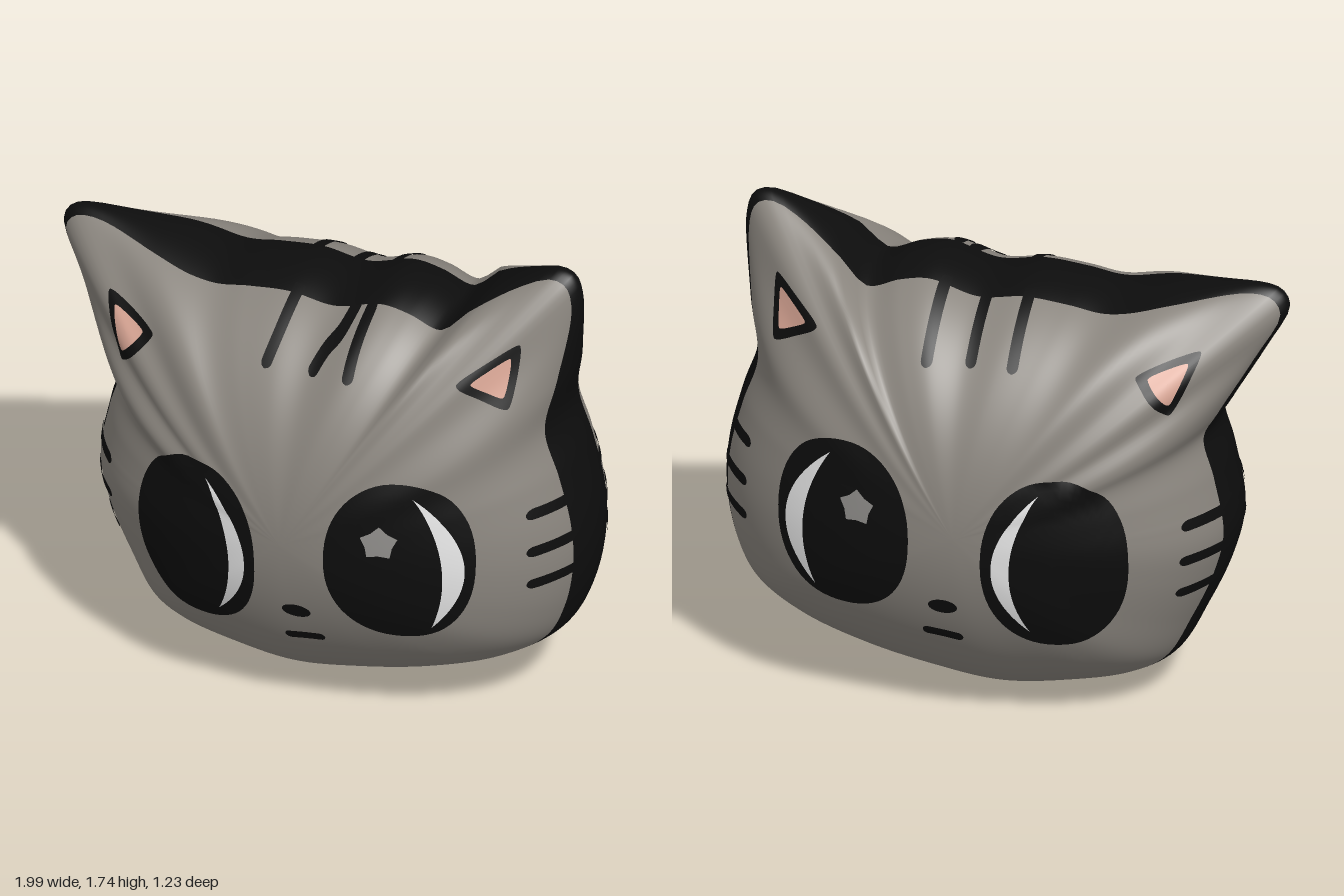
import * as THREE from 'three';

const mat = (name, color, side = THREE.DoubleSide) => {
  const m = new THREE.MeshStandardMaterial({ color, side });
  m.name = name;
  return m;
};

const V = (x, y) => new THREE.Vector3(x, y, 0);
const lerp = THREE.MathUtils.lerp;

// Centre and half depth of the cushion-like head
const CX = 0.05, CY = 0.78, DEPTH = 0.615;

// Front outline, clockwise from the left-hand ear
const OUTLINE = [
  [-1.0, 1.51], [-0.975, 1.565], [-0.91, 1.585], [-0.63, 1.55], [-0.4, 1.505], [-0.26, 1.525],
  [-0.1, 1.54], [0.07, 1.52], [0.25, 1.57], [0.355, 1.555], [0.48, 1.515], [0.57, 1.6],
  [0.73, 1.7], [0.855, 1.745], [0.905, 1.725], [0.93, 1.645], [0.91, 1.38], [0.88, 1.18],
  [0.935, 1.0], [0.98, 0.815], [0.99, 0.655], [0.96, 0.47], [0.89, 0.32], [0.73, 0.2],
  [0.49, 0.105], [0.22, 0.04], [-0.035, 0.005], [-0.285, 0.035], [-0.5, 0.09], [-0.62, 0.165],
  [-0.715, 0.335], [-0.795, 0.52], [-0.83, 0.68], [-0.795, 0.895], [-0.757, 1.055],
  [-0.805, 1.15], [-0.92, 1.35],
];

// Outline radius by angle
const polar = new THREE.CatmullRomCurve3(OUTLINE.map(([x, y]) => V(x, y)), true, 'centripetal')
  .getPoints(900)
  .map((p) => [Math.atan2(p.y - CY, p.x - CX), Math.hypot(p.x - CX, p.y - CY)])
  .sort((a, b) => a[0] - b[0]);

function radius(theta) {
  const t = Math.atan2(Math.sin(theta), Math.cos(theta));
  let i = polar.findIndex((p) => p[0] >= t);
  if (i < 0) i = 0;
  const b = polar[i], a = polar[(i + polar.length - 1) % polar.length];
  const span = b[0] - a[0];
  return span > 1e-6 ? lerp(a[1], b[1], (t - a[0]) / span) : b[1];
}

// 0 on the head, 1 at an ear tip
const earness = (theta, R) => (Math.sin(theta) > 0.3 ? THREE.MathUtils.smoothstep(R, 0.9, 1.28) : 0);

// Half thickness at fraction s of the way to the outline; ears thin to cones
const thickness = (s, ear) =>
  DEPTH * Math.sqrt(Math.max(0, 1 - s * s)) * (1 - 0.68 * ear * Math.pow(s, 2.2));

function headPoint(x, y) {
  const theta = Math.atan2(y - CY, x - CX);
  const R = radius(theta);
  const s = Math.min(Math.hypot(x - CX, y - CY) / R, 0.983);
  return { theta, R, s, z: thickness(s, earness(theta, R)) };
}

// Head with a dark band around its rim
function makeHead(fur, dark) {
  const N = 320, FUR = 40, BAND = 10, rings = 2 * (FUR + BAND);
  const pos = new Float32Array((rings + 1) * N * 3), idx = [];
  for (let j = 0; j < N; j++) {
    const theta = (j / N) * Math.PI * 2;
    const R = radius(theta), ear = earness(theta, R), width = 0.155 - 0.11 * ear;
    let lo = 0, hi = 1;
    for (let k = 0; k < 30; k++) {
      const m = (lo + hi) / 2;
      if (thickness(m, ear) > width) lo = m; else hi = m;
    }
    const edge = Math.asin(lo);
    for (let i = 0; i <= rings; i++) {
      const n = Math.min(i, rings - i);
      const phi = n <= FUR ? (edge * n) / FUR : lerp(edge, Math.PI / 2, (n - FUR) / BAND);
      const s = Math.sin(phi);
      const z = n === FUR + BAND ? 0 : thickness(s, ear) * (i > rings / 2 ? -1 : 1);
      pos.set([CX + Math.cos(theta) * R * s, CY + Math.sin(theta) * R * s, z], (i * N + j) * 3);
    }
  }
  for (let i = 0; i < rings; i++) {
    for (let j = 0; j < N; j++) {
      const k = (j + 1) % N;
      const a = i * N + j, b = (i + 1) * N + j, c = (i + 1) * N + k, d = i * N + k;
      idx.push(a, b, c, a, c, d);
    }
  }
  const g = new THREE.BufferGeometry();
  g.setAttribute('position', new THREE.BufferAttribute(pos, 3));
  g.setIndex(idx);
  g.computeVertexNormals();
  g.addGroup(0, FUR * N * 6, 0);
  g.addGroup(FUR * N * 6, 2 * BAND * N * 6, 1);
  g.addGroup((FUR + 2 * BAND) * N * 6, FUR * N * 6, 0);
  const mesh = new THREE.Mesh(g, [fur, dark]);
  mesh.name = 'head';
  return mesh;
}

// Thin sheet between two rows of points, laid over the front (side 1) or back (side -1)
function drape(name, material, rowA, rowB, side, lift = 0.004, steps = 10) {
  const n = rowA.length, pos = [], idx = [], e = 0.004;
  for (let i = 0; i <= steps; i++) {
    for (let j = 0; j < n; j++) {
      const p = rowA[j].clone().lerp(rowB[j], i / steps);
      const h = headPoint(p.x, p.y);
      const x = CX + Math.cos(h.theta) * h.R * h.s, y = CY + Math.sin(h.theta) * h.R * h.s;
      const normal = new THREE.Vector3(
        (headPoint(x - e, y).z - headPoint(x + e, y).z) / (2 * e),
        (headPoint(x, y - e).z - headPoint(x, y + e).z) / (2 * e), 1).normalize();
      pos.push(x + normal.x * lift, y + normal.y * lift, side * (h.z + normal.z * lift));
      if (i < steps && j < n - 1) {
        const a = i * n + j, b = a + n;
        idx.push(a, b, b + 1, a, b + 1, a + 1);
      }
    }
  }
  const g = new THREE.BufferGeometry();
  g.setAttribute('position', new THREE.Float32BufferAttribute(pos, 3));
  g.setIndex(idx);
  g.computeVertexNormals();
  const mesh = new THREE.Mesh(g, material);
  mesh.name = name;
  return mesh;
}

const fill = (name, material, outline, cx, cy, side, lift) =>
  drape(name, material, outline, outline.map(() => V(cx, cy)), side, lift);

// Rounded oval; power above 2 gives fuller corners
const oval = (cx, cy, w, h, power = 2) => Array.from({ length: 65 }, (_, i) => {
  const a = (i / 64) * Math.PI * 2, c = Math.cos(a), s = Math.sin(a);
  return V(cx + w * Math.sign(c) * Math.abs(c) ** (2 / power), cy + h * Math.sign(s) * Math.abs(s) ** (2 / power));
});

// Arc through three points
const arc = (a, m, b) => new THREE.QuadraticBezierCurve3(
  V(...a), V(2 * m[0] - (a[0] + b[0]) / 2, 2 * m[1] - (a[1] + b[1]) / 2), V(...b)).getPoints(32);

// Polygon with softened corners
const softPolygon = (pts) => {
  const out = pts.flatMap((p, i) => [pts.at(i - 1), pts[(i + 1) % pts.length]].map((q) => p.clone().lerp(q, 0.14)));
  return new THREE.CatmullRomCurve3(out, true, 'catmullrom', 0.4).getPoints(60);
};

// Stroke of even width with rounded ends
function stroke(name, material, path, width, side) {
  const curve = new THREE.CatmullRomCurve3(path.map(([x, y]) => V(x, y)));
  const len = curve.getLength(), rows = [[], []];
  for (let i = 0; i <= 40; i++) {
    const t = i / 40, p = curve.getPointAt(t), d = curve.getTangentAt(t);
    const end = Math.min(1, (Math.min(t, 1 - t) * len) / (width / 2));
    const w = (width / 2) * Math.sqrt(Math.max(0.02, 1 - (1 - end) ** 2));
    rows[0].push(V(p.x - d.y * w, p.y + d.x * w));
    rows[1].push(V(p.x + d.y * w, p.y - d.x * w));
  }
  return drape(name, material, rows[0], rows[1], side, 0.004, 4);
}

export function createModel() {
  const fur = mat('grey fur', 0x8a857e, THREE.FrontSide);
  const dark = mat('black markings', 0x0d0d0d);
  const white = mat('white eye shine', 0xf8f8f8);
  const spark = mat('grey eye star', 0x908e8b);
  const pink = mat('pink inner ear', 0xd8a594);

  const model = new THREE.Group();
  model.name = 'catHead';
  model.add(makeHead(fur, dark));

  // The same face on the front and on the back
  for (const side of [1, -1]) {
    const face = new THREE.Group();
    face.name = side > 0 ? 'frontFace' : 'backFace';
    model.add(face);

    // Eyes with crescent shines
    face.add(
      fill('rightEye', dark, oval(-0.29, 0.685, 0.245, 0.33, 2.2), -0.29, 0.685, side),
      fill('leftEye', dark, oval(0.46, 0.755, 0.25, 0.315, 2.2), 0.46, 0.755, side),
      drape('rightEyeShine', white, arc([-0.243, 0.965], [-0.083, 0.69], [-0.205, 0.42]),
        arc([-0.243, 0.965], [-0.145, 0.69], [-0.205, 0.42]), side, 0.008),
      drape('leftEyeShine', white, arc([0.505, 1.02], [0.675, 0.76], [0.565, 0.495]),
        arc([0.505, 1.02], [0.605, 0.76], [0.565, 0.495]), side, 0.008),
    );

    // Star in the left eye
    const star = Array.from({ length: 11 }, (_, i) => {
      const a = Math.PI / 2 + (i * Math.PI) / 5, r = i % 2 ? 0.048 : 0.066;
      return V(0.4 + r * Math.cos(a), 0.845 + r * Math.sin(a));
    });
    face.add(fill('eyeStar', spark, star, 0.4, 0.845, side, 0.008));

    // Nose and mouth
    face.add(fill('nose', dark, oval(0.096, 0.5, 0.052, 0.029), 0.096, 0.5, side));
    face.add(stroke('mouth', dark, [[0.035, 0.36], [0.105, 0.37], [0.18, 0.376]], 0.036, side));

    // Inner ears: black triangle with a smaller pink one
    for (const [name, pts] of [
      ['rightInnerEar', [[-0.75, 1.42], [-0.52, 1.345], [-0.65, 1.195]]],
      ['leftInnerEar', [[0.78, 1.54], [0.585, 1.405], [0.77, 1.3]]],
    ]) {
      const tri = pts.map((p) => V(...p));
      const c = tri[0].clone().add(tri[1]).add(tri[2]).divideScalar(3);
      face.add(fill(name + 'Border', dark, softPolygon(tri), c.x, c.y, side));
      face.add(fill(name, pink, softPolygon(tri.map((p) => c.clone().lerp(p, 0.62))), c.x, c.y, side, 0.008));
    }

    // Forehead stripes
    const forehead = side > 0
      ? [[[-0.07, 1.54], [-0.075, 1.45], [-0.09, 1.35]],
        [[0.16, 1.54], [0.14, 1.47], [0.105, 1.42], [0.075, 1.35]],
        [[0.217, 1.55], [0.215, 1.45], [0.22, 1.36]]]
      : [-0.11, 0.04, 0.19].map((x) => [[x, 1.55], [x, 1.45], [x, 1.34]]);
    forehead.forEach((path) => face.add(stroke('foreheadStripe', dark, path, 0.04, side)));

    // Whisker stripes on the cheeks
    [[0.84, 0.905], [0.85, 0.765], [0.85, 0.635]].forEach(([x, y]) =>
      face.add(stroke('leftWhisker', dark, [[x, y], [0.92, y + 0.003], [1.0, y + 0.005]], 0.04, side)));
    [[-0.69, 0.775], [-0.685, 0.642], [-0.665, 0.507]].forEach(([x, y]) =>
      face.add(stroke('rightWhisker', dark, [[x, y], [-0.76, y], [-0.83, y - 0.005]], 0.04, side)));
  }
  return model;
}
